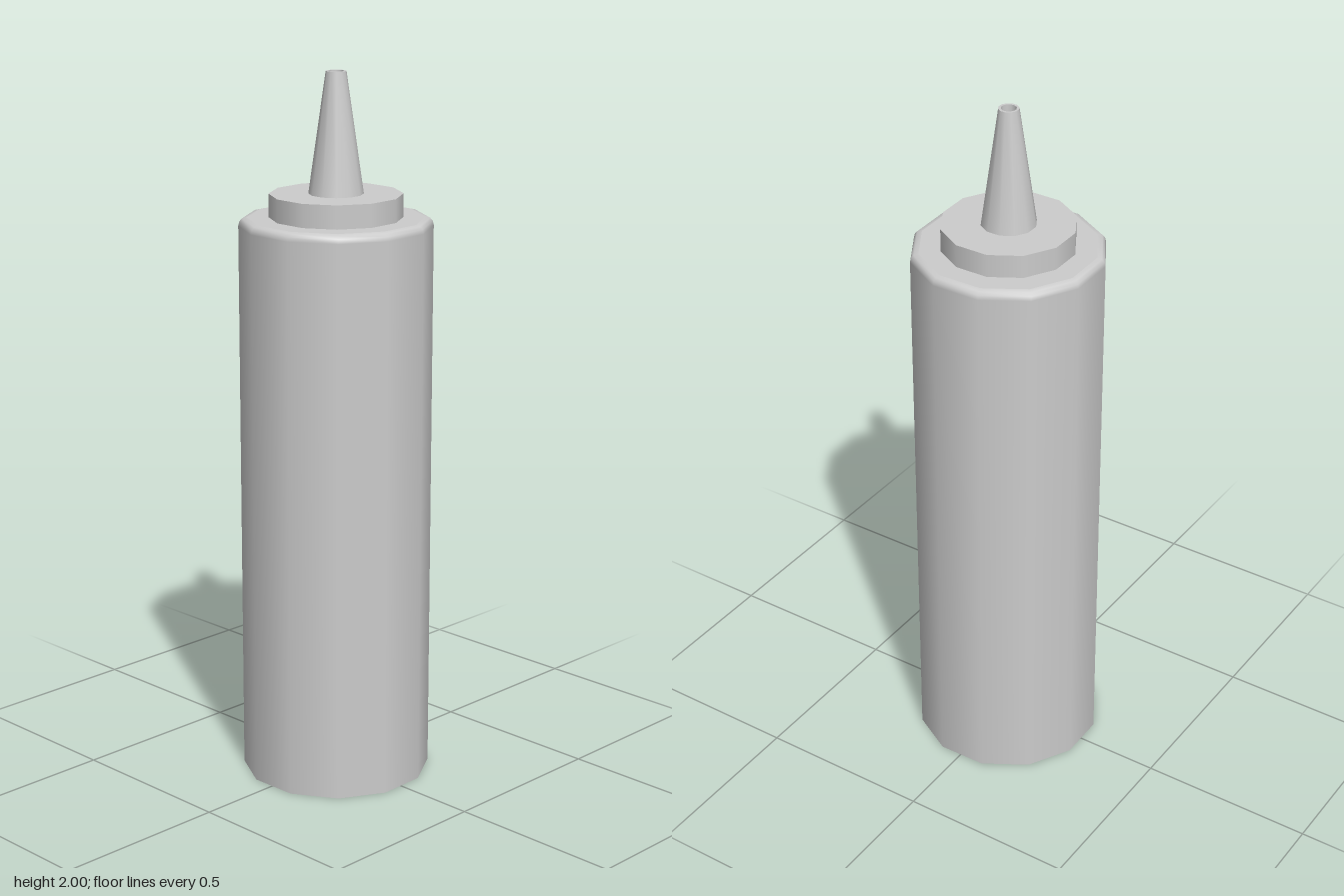
import * as THREE from 'three';
import { mergeGeometries } from 'three/addons/utils/BufferGeometryUtils.js';

const SIDES = 12;
const material = new THREE.MeshStandardMaterial({ color: 0xcccccc });

// Each band is a smooth [radius, height] profile; edges between bands stay sharp.
function turned(name, bands, startDegrees) {
  const start = THREE.MathUtils.degToRad(startDegrees);
  const parts = bands.map((band) => new THREE.LatheGeometry(
    band.map(([r, y]) => new THREE.Vector2(r, y)), SIDES, start, Math.PI * 2));
  const mesh = new THREE.Mesh(mergeGeometries(parts), material);
  mesh.name = name;
  return mesh;
}

export function createModel() {
  const group = new THREE.Group();
  group.name = 'squeezeBottle';

  // Tall body with a softly rounded shoulder
  group.add(turned('body', [
    [[0, 0], [0.267, 0]],
    [[0.267, 0], [0.267, 1.58], [0.264, 1.592], [0.257, 1.6], [0.244, 1.603]],
    [[0.244, 1.603], [0, 1.603]],
  ], 16));

  // Flat screw cap
  group.add(turned('cap', [
    [[0.184, 1.6], [0.184, 1.668]],
    [[0.184, 1.668], [0, 1.668]],
  ], 15.5));

  // Tapered nozzle with a recessed opening
  group.add(turned('nozzle', [
    [[0.076, 1.666], [0.028, 2]],
    [[0.028, 2], [0.021, 2]],
    [[0.021, 2], [0.021, 1.965]],
    [[0.021, 1.965], [0, 1.965]],
  ], 15));

  return group;
}
